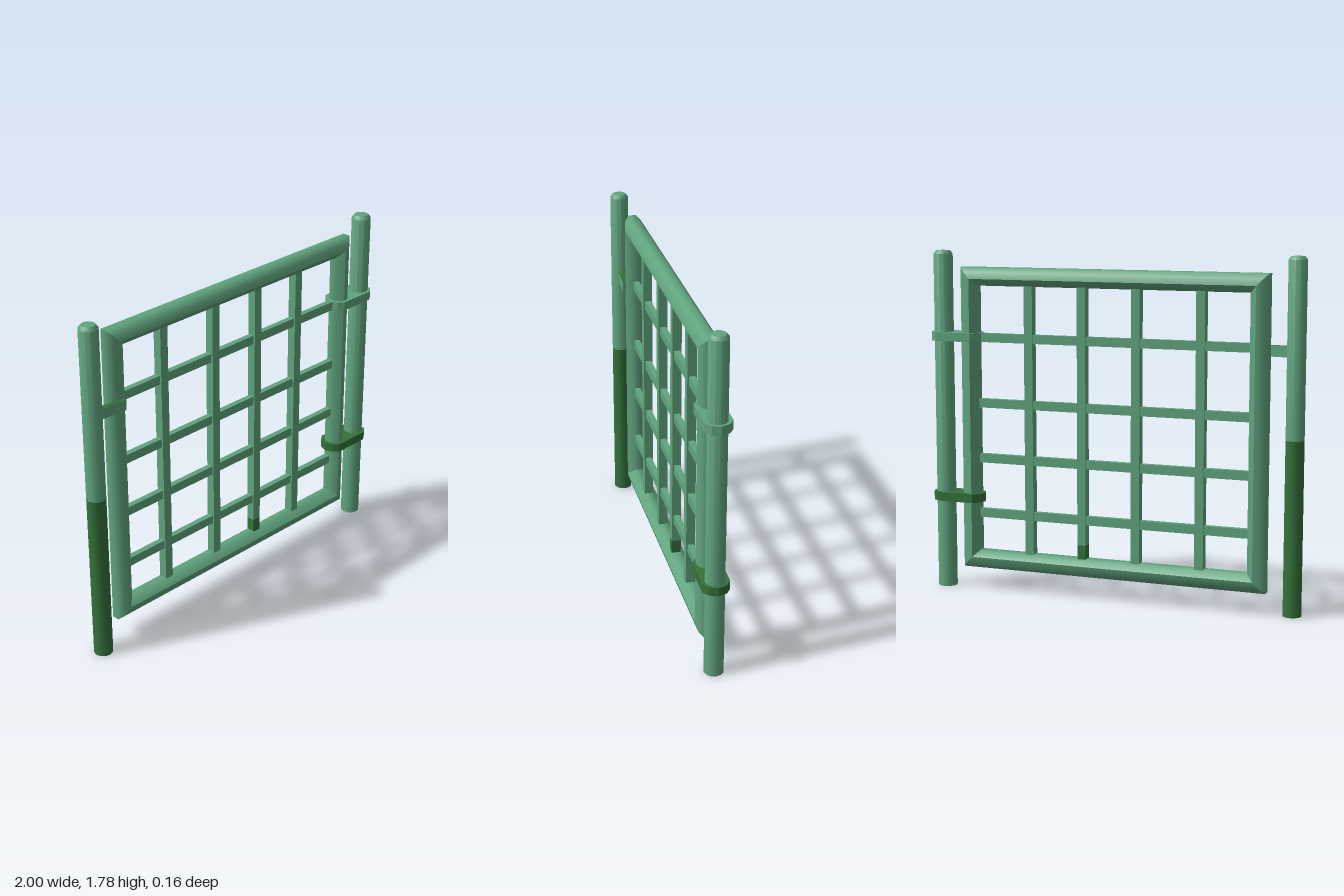
import * as THREE from 'three';
import { toCreasedNormals } from 'three/addons/utils/BufferGeometryUtils.js';

const green = new THREE.MeshStandardMaterial({ color: 0x60a47d });
green.name = 'paleGreen';
const dark = new THREE.MeshStandardMaterial({ color: 0x34713a });
dark.name = 'darkGreen';

const FRAME_Z = -0.012;

function add(group, name, geometry, material, x = 0, y = 0, z = 0) {
  const mesh = new THREE.Mesh(geometry, material);
  mesh.name = name;
  mesh.position.set(x, y, z);
  group.add(mesh);
  return mesh;
}

// Smooth post section: optional chamfered top
function postGeometry(r, y0, y1, capped) {
  const side = [new THREE.Vector2(0, y0), new THREE.Vector2(r, y0)];
  if (capped) {
    side.push(new THREE.Vector2(r, y1 - 0.02), new THREE.Vector2(r * 0.72, y1 - 0.003), new THREE.Vector2(0, y1));
  } else {
    side.push(new THREE.Vector2(r, y1));
  }
  return toCreasedNormals(new THREE.LatheGeometry(side, 12).toNonIndexed(), 0.8);
}

// One mitred frame bar: rounded outside, bevelled inside
function frameBar(a, b, inA, inB) {
  const half = [[0, 0.02], [0.025, 0.044], [0.06, 0.0525], [0.095, 0.02]];
  const profile = [...half, ...half.map(([u, w]) => [u, -w]).reverse()];
  const point = (p, n, [u, w]) => [p[0] + n[0] * u, p[1] + n[1] * u, FRAME_Z + w];
  const pos = [];
  profile.forEach((p, i) => {
    const q = profile[(i + 1) % profile.length];
    const a0 = point(a, inA, p), a1 = point(a, inA, q);
    const b0 = point(b, inB, p), b1 = point(b, inB, q);
    pos.push(...a0, ...b0, ...b1, ...a0, ...b1, ...a1);
  });
  const g = new THREE.BufferGeometry();
  g.setAttribute('position', new THREE.Float32BufferAttribute(pos, 3));
  g.computeVertexNormals();
  return toCreasedNormals(g, 0.85);
}

// Horizontal plate from an outline in x and z
function plate(outline, height) {
  const shape = new THREE.Shape(outline.map(([x, z]) => new THREE.Vector2(x, -z)));
  const g = new THREE.ExtrudeGeometry(shape, { depth: height, bevelEnabled: false });
  return g.rotateX(-Math.PI / 2);
}

export function createModel() {
  const gate = new THREE.Group();
  gate.name = 'gate';

  // Posts; the latch post is two-toned
  add(gate, 'hingePost', postGeometry(0.05, 0, 1.785, true), green, 0.93, 0, -0.01);
  add(gate, 'latchPostLower', postGeometry(0.048, 0, 0.885, false), dark, -0.952, 0, 0.031);
  add(gate, 'latchPostUpper', postGeometry(0.048, 0.885, 1.785, true), green, -0.952, 0, 0.031);

  // Outer frame, corners counterclockwise from the front
  const corners = [
    [[-0.83, 0.115], [1, 1]], [[0.82, 0.115], [-1, 1]],
    [[0.82, 1.7], [-1, -1]], [[-0.83, 1.7], [1, -1]],
  ];
  ['frameBottom', 'frameLeft', 'frameTop', 'frameRight'].forEach((name, i) => {
    const [a, inA] = corners[i];
    const [b, inB] = corners[(i + 1) % 4];
    add(gate, name, frameBar(a, b, inA, inB), green);
  });

  // Grid of bars; one upright has a dark foot
  for (const x of [-0.483, -0.143, 0.149, 0.441]) {
    const y0 = x === 0.149 ? 0.28 : 0.19;
    add(gate, 'uprightBar', new THREE.BoxGeometry(0.046, 1.62 - y0, 0.046), green, x, (1.62 + y0) / 2, FRAME_Z);
  }
  add(gate, 'uprightFoot', new THREE.BoxGeometry(0.046, 0.09, 0.046), dark, 0.149, 0.235, FRAME_Z);
  for (const y of [1.336, 0.993, 0.702, 0.41]) {
    add(gate, 'crossBar', new THREE.BoxGeometry(1.49, 0.046, 0.03), green, -0.005, y, FRAME_Z);
  }

  // Hinge straps round the post and the frame
  const strap = [
    [0.995, -0.012], [0.98, 0.03], [0.945, 0.055], [0.75, 0.055], [0.72, 0.03],
    [0.705, -0.012], [0.72, -0.055], [0.75, -0.08], [0.945, -0.08], [0.98, -0.055],
  ];
  add(gate, 'upperHinge', plate(strap, 0.046), green, 0, 1.315, 0);
  add(gate, 'lowerHinge', plate(strap, 0.046), dark, 0, 0.468, 0);

  // Latch arm tapering towards the frame
  const arm = [[-0.92, 0.015], [-0.92, 0.045], [-0.765, 0.055], [-0.765, 0.038]];
  add(gate, 'latchArm', plate(arm, 0.055), [dark, green], 0, 1.292, 0);

  return gate;
}
